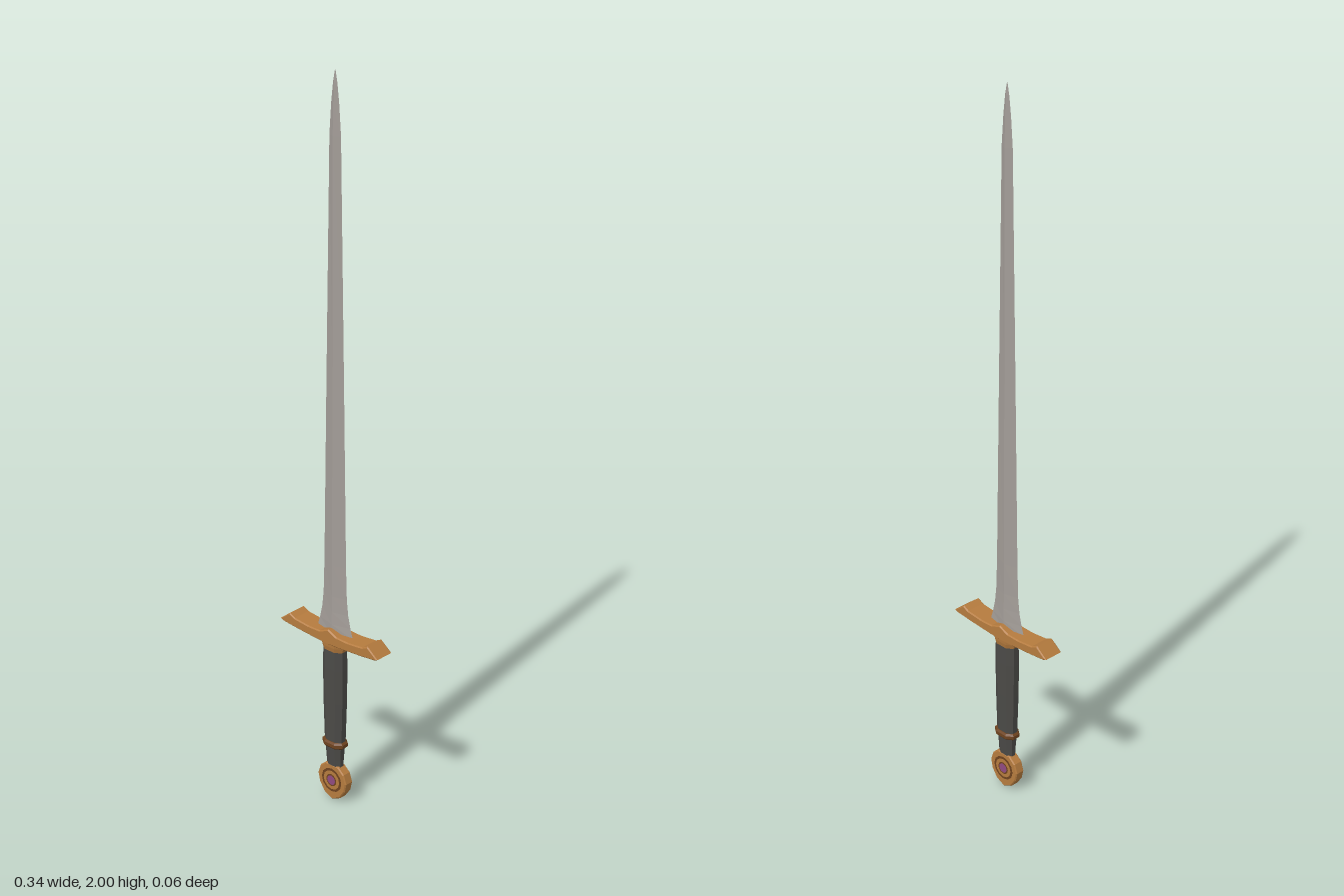
import * as THREE from 'three';

const mat = (name, color) => {
  const m = new THREE.MeshStandardMaterial({ color });
  m.name = name;
  return m;
};

// Solid skin through horizontal sections [y, halfWidth, halfDepth] of a unit outline [x, z]
function loft(outline, sections) {
  const pos = [];
  const n = outline.length;
  const at = (s, j) => [outline[j % n][0] * s[1], s[0], outline[j % n][1] * s[2]];
  for (let i = 0; i < sections.length - 1; i++) {
    for (let j = 0; j < n; j++) {
      const a = at(sections[i], j), b = at(sections[i], j + 1);
      const d = at(sections[i + 1], j), c = at(sections[i + 1], j + 1);
      pos.push(...a, ...d, ...c, ...a, ...c, ...b);
    }
  }
  const lo = sections[0], hi = sections[sections.length - 1];
  for (let j = 0; j < n; j++) {
    pos.push(0, lo[0], 0, ...at(lo, j), ...at(lo, j + 1));
    pos.push(0, hi[0], 0, ...at(hi, j + 1), ...at(hi, j));
  }
  const g = new THREE.BufferGeometry();
  g.setAttribute('position', new THREE.Float32BufferAttribute(pos, 3));
  g.computeVertexNormals();
  return g;
}

// Plate extruded along z from the right half of a symmetric outline, listed bottom to top
function plate(half, depth, bevel) {
  const left = half.filter(p => p[0] > 0).reverse().map(p => [-p[0], p[1]]);
  const shape = new THREE.Shape([...half, ...left].map(p => new THREE.Vector2(...p)));
  const g = new THREE.ExtrudeGeometry(shape, {
    depth: depth - 2 * bevel, bevelEnabled: bevel > 0, bevelThickness: bevel,
    bevelSize: bevel, bevelOffset: -bevel, bevelSegments: 1,
  });
  return g.translate(0, 0, -depth / 2 + bevel);
}

export function createModel() {
  const root = new THREE.Group();
  root.name = 'sword';
  const steel = mat('steel', 0xa39d98);
  const bronze = mat('bronze', 0xb57b3e);
  const darkBronze = mat('dark bronze', 0x6e431f);
  const leather = mat('dark leather', 0x4b4a47);
  const gem = mat('purple gem', 0x8f4a80);

  const add = (name, geometry, material) => {
    const m = new THREE.Mesh(geometry, material);
    m.name = name;
    root.add(m);
    return m;
  };

  const diamond = [[1, 0], [0, 1], [-1, 0], [0, -1]];
  const octagon = [[1, 0.45], [0.5, 1], [-0.5, 1], [-1, 0.45],
    [-1, -0.45], [-0.5, -1], [0.5, -1], [1, -0.45]];

  // Blade with flared base and tapering point
  add('blade', loft(diamond, [
    [0.5, 0.063, 0.014], [0.53, 0.054, 0.014], [0.565, 0.046, 0.013], [0.61, 0.041, 0.012],
    [0.7, 0.038, 0.012], [1.2, 0.03, 0.01], [1.84, 0.019, 0.009],
    [1.92, 0.013, 0.007], [1.97, 0.007, 0.005], [2, 0.001, 0.001],
  ]), steel);

  // Crossguard with angled ends and a small centre peak
  add('crossguard', plate([
    [0, 0.476], [0.04, 0.478], [0.11, 0.483], [0.16, 0.488], [0.172, 0.493],
    [0.138, 0.52], [0.12, 0.511], [0.07, 0.506], [0.03, 0.507], [0, 0.52],
  ], 0.058, 0.003), bronze);

  // Grip, collars and neck
  add('upperCollar', loft(octagon, [
    [0.455, 0.034, 0.022], [0.468, 0.038, 0.025], [0.48, 0.04, 0.026],
  ]), bronze);
  add('grip', loft(octagon, [
    [0.175, 0.03, 0.018], [0.3, 0.034, 0.02], [0.4, 0.035, 0.021], [0.458, 0.034, 0.02],
  ]), leather);
  add('lowerRing', loft(octagon, [
    [0.163, 0.031, 0.02], [0.168, 0.036, 0.024], [0.177, 0.036, 0.024], [0.182, 0.031, 0.02],
  ]), darkBronze);
  add('neck', loft(octagon, [
    [0.09, 0.024, 0.012], [0.125, 0.025, 0.015], [0.166, 0.028, 0.018],
  ]), leather);

  // Pommel with a pointed foot
  add('pommel', plate([
    [0, 0], [0.028, 0.013], [0.045, 0.038], [0.051, 0.064], [0.042, 0.09], [0.022, 0.107],
  ], 0.028, 0.003), bronze);

  // Inlaid rings and gem on both faces
  const discs = [
    ['pommelInlay', 0.035, 0.0146, darkBronze],
    ['gemSetting', 0.028, 0.0152, bronze],
    ['gemRim', 0.018, 0.0158, darkBronze],
    ['gem', 0.014, 0.0164, gem],
  ];
  for (const side of [1, -1]) {
    for (const [name, r, z, material] of discs) {
      const g = new THREE.CylinderGeometry(r, r, 0.004, 12).rotateX(Math.PI / 2);
      add(name, g, material).position.set(0, 0.06, side * (z - 0.002));
    }
  }
  return root;
}
